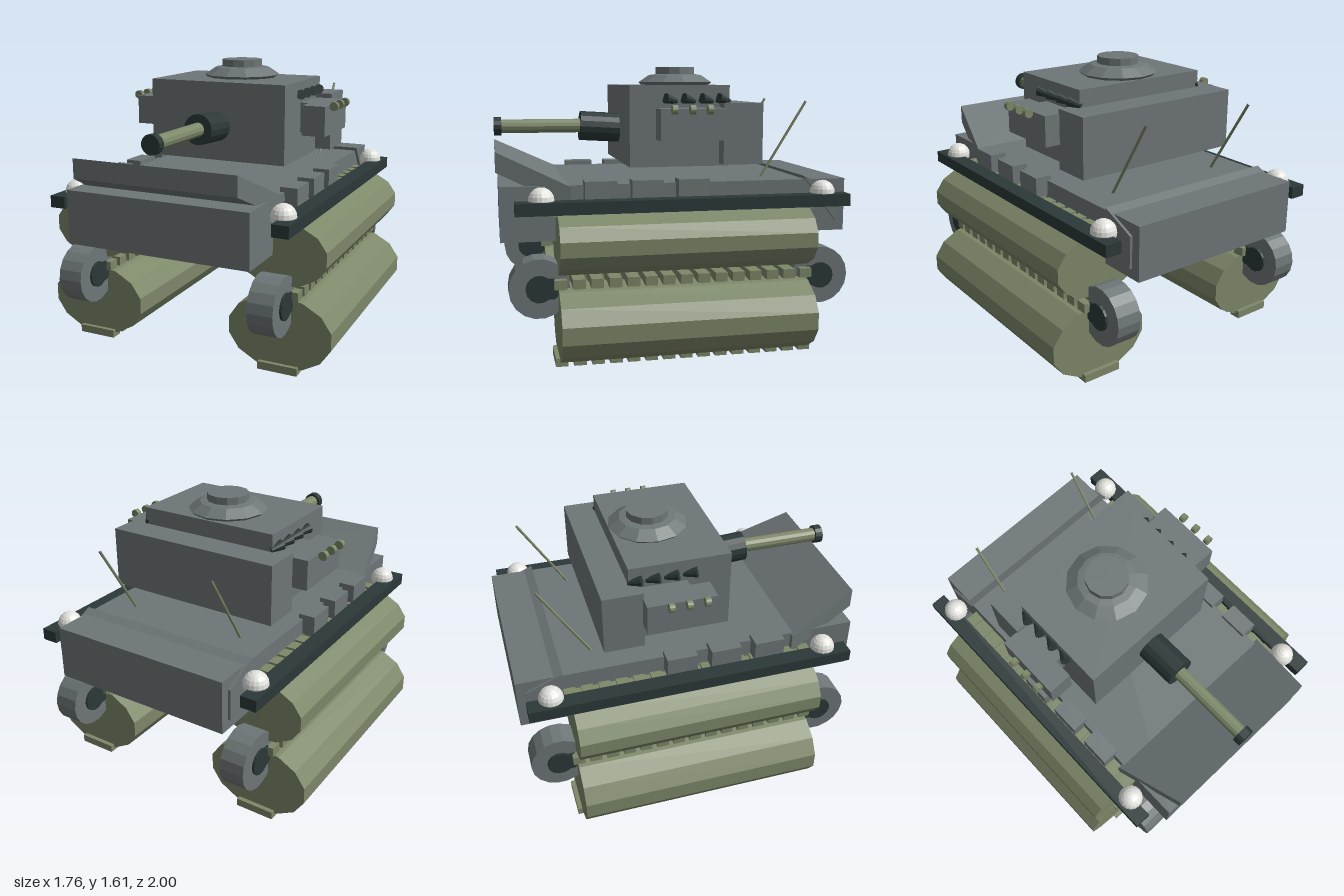
import * as THREE from 'three';

const flat = (name, color) => {
  const m = new THREE.MeshStandardMaterial({ color });
  m.name = name;
  m.flatShading = true;
  return m;
};

export function createModel() {
  const model = new THREE.Group();
  model.name = 'tank';
  const grey = flat('hull grey', 0x6e7677);
  const olive = flat('olive green', 0x7d8869);
  const dark = flat('dark steel', 0x2c3838);
  const white = flat('lamp white', 0xe2e2de);

  const add = (name, geometry, material) => {
    const mesh = new THREE.Mesh(geometry, material);
    mesh.name = name;
    model.add(mesh);
    return mesh;
  };
  // box given by its minimum and maximum on each axis
  const box = (name, mat, x0, x1, y0, y1, z0, z1) => {
    const g = new THREE.BoxGeometry(Math.abs(x1 - x0), y1 - y0, z1 - z0);
    g.translate((x0 + x1) / 2, (y0 + y1) / 2, (z0 + z1) / 2);
    return add(name, g, mat);
  };
  // elliptical cylinder lying along z
  const rod = (name, mat, x, y, z0, z1, rx, ry = rx, sides = 14, taper = 1) => {
    const g = new THREE.CylinderGeometry(1, taper, z1 - z0, sides);
    g.rotateX(Math.PI / 2).scale(rx, ry, 1).translate(x, y, (z0 + z1) / 2);
    return add(name, g, mat);
  };
  // cylinder lying along x
  const disc = (name, mat, x, y, z, r, width, sides) => {
    const g = new THREE.CylinderGeometry(r, r, width, sides);
    g.rotateZ(Math.PI / 2).translate(x, y, z);
    return add(name, g, mat);
  };

  // hull
  box('hull', grey, -0.545, 0.545, 0.663, 0.968, -1, 0.985);

  // sloped front plate, narrowing towards its raised front edge
  const plate = new THREE.BoxGeometry(1, 1, 1);
  const p = plate.attributes.position;
  for (let i = 0; i < p.count; i++) {
    const front = p.getZ(i) > 0, top = p.getY(i) > 0;
    p.setXYZ(i,
      Math.sign(p.getX(i)) * (front ? 0.485 : 0.575),
      (front ? 1.04 : 0.85) + (top ? 0.112 : 0),
      front ? 1 : 0.6);
  }
  plate.computeVertexNormals();
  add('frontPlate', plate, grey);

  // rear wedge showing at the hull sides
  const wedge = new THREE.Shape([[0.74, 0.99], [0.945, 0.72], [0.945, 0.9]]
    .map(([z, y]) => new THREE.Vector2(z, y)));
  const wedgeGeo = new THREE.ExtrudeGeometry(wedge, { depth: 1.12, bevelEnabled: false });
  wedgeGeo.translate(0, 0, -0.56).rotateY(Math.PI / 2);
  add('rearPlate', wedgeGeo, grey);

  // turret
  box('turret', grey, -0.43, 0.43, 1.045, 1.507, -0.33, 0.252);
  box('turretBustle', grey, -0.528, 0.528, 1.06, 1.407, -0.5, -0.27);
  const cupola = new THREE.LatheGeometry([
    [0, 1.5], [0.205, 1.5], [0.23, 1.523], [0.165, 1.566],
    [0.122, 1.572], [0.122, 1.614], [0, 1.614],
  ].map(([x, y]) => new THREE.Vector2(x, y)), 12);
  cupola.translate(0, 0, -0.107);
  add('cupola', cupola, grey);

  // gun
  const mantlet = rod('gunMantlet', dark, 0, 0, -0.125, 0.115, 0.088, 0.088, 16);
  mantlet.position.set(0, 1.255, 0.373);
  mantlet.rotation.x = -0.06;
  rod('gunBarrel', olive, 0, 1.262, 0.45, 0.97, 0.041, 0.041, 12);
  rod('gunMuzzle', dark, 0, 1.262, 0.955, 1, 0.055, 0.055, 14);

  for (const s of [-1, 1]) {
    const side = s > 0 ? 'left' : 'right';
    const x = s * 0.585;

    // long rollers
    rod(side + 'UpperRoller', olive, x, 0.67, -0.72, 0.685, 0.267, 0.182);
    rod(side + 'LowerRoller', olive, x, 0.222, -0.72, 0.685, 0.305, 0.214);

    // rows of track links on the rollers
    for (const [y0, y1] of [[0, 0.045], [0.425, 0.478], [0.82, 0.872]]) {
      for (let i = 0; i < 15; i++) {
        const z = -0.712 + i * 0.099;
        box(side + 'TrackLink', olive, x - 0.115, x + 0.115, y0, y1, z - 0.034, z + 0.034);
      }
    }
    box(side + 'TrackBelt', olive, x - 0.1, x + 0.1, 0.82, 0.86, -0.74, 0.7);

    // end wheels
    for (const z of [0.785, -0.815]) {
      disc(side + 'Wheel', grey, s * 0.583, 0.425, z, 0.165, 0.145, 18);
      disc(side + 'WheelHub', dark, s * 0.583, 0.425, z, 0.075, 0.172, 14);
      const inner = z - Math.sign(z) * 0.06;
      disc(side + 'WheelAxle', dark, s * 0.583, 0.425, inner, 0.06, 0.165, 10);
    }

    // fender and lamps
    box(side + 'Fender', dark, s * 0.625, s * 0.72, 0.832, 0.9, -0.96, 0.907);
    for (const z of [0.765, -0.825]) {
      const lamp = new THREE.SphereGeometry(0.07, 16, 10);
      lamp.translate(s * 0.635, 0.904, z);
      add(side + 'Lamp', lamp, white);
    }

    // stowage blocks along the hull edge
    for (const z of [0.442, 0.182, -0.078]) {
      box(side + 'HullBlock', grey, s * 0.52, s * 0.62, 0.88, 0.995, z - 0.088, z + 0.088);
    }

    // turret side box with its cans
    box(side + 'TurretBox', grey, s * 0.42, s * 0.48, 1.205, 1.38, -0.275, 0.0);
    box(side + 'TurretBoxOuter', grey, s * 0.48, s * 0.62, 1.205, 1.38, -0.278, 0.112);
    for (const z of [0.043, -0.057, -0.155]) {
      rod(side + 'Can', olive, s * 0.652, 1.377, z - 0.015, z + 0.015, 0.026, 0.026, 12);
    }

    // smoke launchers
    for (const z of [0.015, -0.09, -0.195, -0.295]) {
      const tube = rod(side + 'SmokeLauncher', dark, 0, 0, -0.04, 0.04, 0.03, 0.03, 10, 0.5);
      tube.position.set(s * 0.435, 1.425, z);
      tube.rotation.set(-0.25, s * 0.4, 0);
    }

    // leaning aerial
    const a = new THREE.Vector3(s * 0.365, 0.965, -0.545);
    const b = new THREE.Vector3(s * 0.365, 1.41, -0.82);
    add(side + 'Aerial', new THREE.TubeGeometry(new THREE.LineCurve3(a, b), 1, 0.008, 8), olive);
  }
  return model;
}
